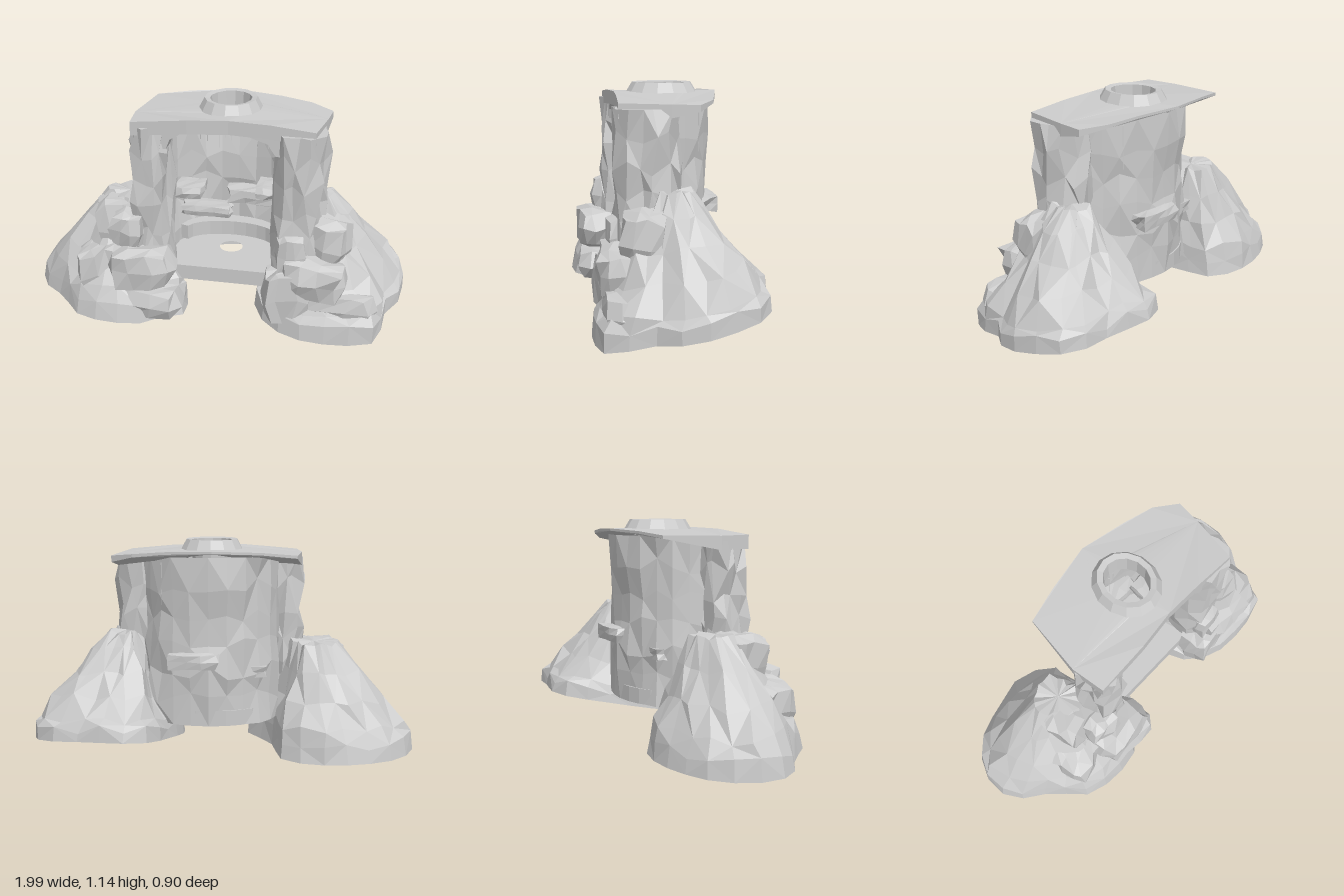
import * as THREE from 'three';

const rock = new THREE.MeshStandardMaterial({ color: 0xcccccc, flatShading: true });
const thin = new THREE.MeshStandardMaterial({ color: 0xcccccc, flatShading: true, side: THREE.DoubleSide });

// Repeatable noise in -1..1 taken from a position, so shared corners stay together
function noise(x, y, z, k) {
  const s = Math.sin(x * 127.1 + y * 311.7 + z * 74.7 + k * 53.3) * 43758.5453;
  return 2 * (s - Math.floor(s)) - 1;
}

function add(group, name, geometry, material = rock) {
  const mesh = new THREE.Mesh(geometry, material);
  mesh.name = name;
  group.add(mesh);
  return mesh;
}

// Joins rings of points (ordered from +x towards +z, bottom to top) into a surface
function loft(rings, { closed = true, caps = true } = {}) {
  const n = rings[0].length, pos = rings.flat().flatMap(p => [p.x, p.y, p.z]), idx = [];
  for (let j = 0; j < rings.length - 1; j++) {
    for (let i = 0; i < (closed ? n : n - 1); i++) {
      const a = j * n + i, b = j * n + (i + 1) % n, c = a + n, d = b + n;
      if ((i + j) % 2) idx.push(a, c, b, b, c, d);
      else idx.push(a, c, d, a, d, b);
    }
  }
  if (caps) {
    for (const j of [0, rings.length - 1]) {
      const mid = new THREE.Vector3();
      rings[j].forEach(p => mid.addScaledVector(p, 1 / n));
      const m = pos.length / 3;
      pos.push(mid.x, mid.y, mid.z);
      for (let i = 0; i < n; i++) {
        const a = j * n + i, b = j * n + (i + 1) % n;
        idx.push(m, ...(j ? [b, a] : [a, b]));
      }
    }
  }
  const g = new THREE.BufferGeometry();
  g.setAttribute('position', new THREE.Float32BufferAttribute(pos, 3));
  g.setIndex(idx);
  g.computeVertexNormals();
  return g;
}

// Evenly spaced points on a closed outline of [x, z] pairs
function outline(pairs, n) {
  const pts = pairs.map(([x, z]) => new THREE.Vector3(x, 0, z));
  return new THREE.CatmullRomCurve3(pts, true, 'centripetal').getSpacedPoints(n).slice(0, n);
}

// Hill of rock: base outline shrinking towards a crown, fuller on its +x side by bulge
function mound(base, centre, peak, k, tilt, y0, bulge, levels) {
  const ring = outline(base, 22);
  return loft(levels.map(([h, s], j) => ring.map(p => {
    const dx = p.x - centre[0], dz = p.z - centre[1];
    const t = s ** (1 + bulge * Math.max(0, dx / Math.hypot(dx, dz)));
    const r = j === 0 ? 0 : 0.03 * (1 - 0.5 * h), side = r * Math.min(1, s * 6);
    return new THREE.Vector3(
      THREE.MathUtils.lerp(p.x, peak[0] + dx * k, t) + side * noise(p.x, h, p.z, 1),
      THREE.MathUtils.lerp(y0 + tilt * p.z, peak[1], h) + r * noise(p.x, h, p.z, 2),
      THREE.MathUtils.lerp(p.z, peak[2] + dz * k, t) + side * noise(p.x, h, p.z, 3));
  })));
}

// Chunky boulder: a subdivided box, partly rounded, roughened and turned
function boulder([x, y, z], [w, h, d], round = 0.55, rough = 0.07, turn = 0) {
  const g = new THREE.BoxGeometry(1, 1, 1, 3, 2, 3), p = g.attributes.position, v = new THREE.Vector3();
  for (let i = 0; i < p.count; i++) {
    v.fromBufferAttribute(p, i);
    const key = v.toArray().map(a => Math.round(a * 100) / 100 + x);
    v.lerp(v.clone().setLength(0.56), round);
    v.x += rough * noise(...key, 1);
    v.y += rough * noise(...key, 2);
    v.z += rough * noise(...key, 3);
    p.setXYZ(i, v.x * w, v.y * h, v.z * d);
  }
  g.rotateZ(turn * 0.5).rotateY(turn).translate(x, y, z);
  g.computeVertexNormals();
  return g;
}

// Flat plate from [x, z] pairs with an optional round hole
function plate(pairs, y, h, hole) {
  const s = new THREE.Shape(pairs.map(([x, z]) => new THREE.Vector2(x, -z)));
  if (hole) s.holes.push(new THREE.Path().absarc(hole[0], -hole[1], hole[2], 0, Math.PI * 2, true));
  return new THREE.ExtrudeGeometry(s, { depth: h, bevelEnabled: false, curveSegments: 10 })
    .rotateX(-Math.PI / 2).translate(0, y, 0);
}

export function createModel() {
  const model = new THREE.Group();
  model.name = 'rockShelter';

  // Side mounds, the left one standing on a tilted base
  add(model, 'rightMound', mound(
    [[-0.25, 0], [-0.1, 0.28], [-0.27, 0.38], [-0.33, 0.44], [-0.65, 0.42], [-0.8, 0.26],
      [-0.97, 0.12], [-1, 0], [-0.97, -0.12], [-0.85, -0.25], [-0.53, -0.33], [-0.3, -0.25]],
    [-0.55, 0.05], [-0.47, 0.6, 0.02], 0.28, 0, 0.035, 0,
    [[0, 0], [0.16, 0.05], [0.29, 0.15], [0.5, 0.42], [0.75, 0.72], [1, 1]]));
  add(model, 'leftMound', mound(
    [[1, -0.08], [0.97, 0.06], [0.9, 0.16], [0.88, 0.34], [0.62, 0.4], [0.4, 0.36], [0.25, 0.22],
      [0.23, 0.05], [0.29, -0.2], [0.36, -0.4], [0.47, -0.45], [0.7, -0.4], [0.9, -0.36]],
    [0.6, -0.03], [0.52, 0.66, 0.0], 0.2, -0.205, 0.087, 0.6,
    [[0, 0], [0.13, 0.03], [0.22, 0.16], [0.4, 0.42], [0.62, 0.66], [0.84, 0.85], [1, 1]]));

  // Boulders heaped at the front of the mounds
  [[[-0.34, 0.31, 0.31], [0.34, 0.21, 0.22], 0.08], [[-0.41, 0.49, 0.25], [0.18, 0.18, 0.16], -0.1],
    [[-0.3, 0.13, 0.29], [0.36, 0.16, 0.25], -0.12], [[-0.57, 0.24, 0.24], [0.24, 0.28, 0.24], 0.3],
    [[-0.5, 0.45, 0.12], [0.24, 0.3, 0.24], 0.2], [[0.54, 0.31, 0.27], [0.32, 0.2, 0.2], -0.12],
    [[0.41, 0.2, 0.28], [0.24, 0.28, 0.18], 0.15], [[0.58, 0.45, 0.14], [0.24, 0.28, 0.22], -0.25],
    [[0.42, 0.43, 0.24], [0.15, 0.2, 0.16], 0.1], [[0.66, 0.16, 0.24], [0.4, 0.18, 0.22], -0.08]
  ].forEach(([c, s, turn], i) => add(model, `boulder${i + 1}`, boulder(c, s, 0.55, 0.07, turn)));

  // Columns either side of the opening, as stacks of rough rings
  const column = (name, x0, x1, back, out) => {
    const shape = outline([[x1, back + 0.05], [x1 - 0.01, 0.2], [x1 - 0.03, 0.26], [x0 + 0.03, 0.26],
      [x0, 0.18], [x0, back + 0.05], [x0 + 0.06, back], [x1 - 0.06, back]], 14);
    const mid = (x0 + x1) / 2;
    add(model, name, loft([0.2, 0.36, 0.5, 0.63, 0.77, 0.91, 1.04].map((y, j) => shape.map(p => {
      const outer = (p.x - mid) * out > 0 ? 1 : 0.5;
      return new THREE.Vector3(
        p.x + 0.028 * outer * noise(p.x, j, p.z, 1),
        y + (j < 6 ? 0.04 * noise(p.x, j, p.z, 2) : 0),
        p.z + 0.02 * noise(p.x, j, p.z, 3));
    }))));
  };
  column('rightColumn', -0.4, -0.2, 0.07, -1);
  column('leftColumn', 0.32, 0.56, -0.02, 1);

  // Curved back wall
  const wall = [];
  for (let j = 0; j <= 6; j++) {
    const row = [];
    for (let i = 0; i <= 12; i++) {
      const a = Math.PI * (1 + i / 12), r = 1 + 0.06 * noise(i, j, 3, 1);
      row.push(new THREE.Vector3(0.08 + 0.36 * r * Math.cos(a),
        0.2 + 0.86 * j / 6 + (j % 6 ? 0.045 * noise(i, j, 5, 2) : 0),
        0.1 - 0.32 * r * Math.abs(Math.sin(a)) ** 0.85));
    }
    wall.push(row);
  }
  add(model, 'backWall', loft(wall, { closed: false, caps: false }), thin);

  // Roof: thick over the front and sides, thinning to an overhang at the back
  const roof = plate([[-0.36, -0.2], [-0.18, -0.24], [0.06, -0.28], [0.3, -0.23], [0.46, -0.19],
    [0.575, -0.11], [0.56, 0.02], [0.52, 0.26], [0.3, 0.25], [0.1, 0.245], [-0.1, 0.265],
    [-0.38, 0.27], [-0.4, 0.1]], 0, 1, [0.07, 0, 0.13]);
  const rp = roof.attributes.position;
  for (let i = 0; i < rp.count; i++) {
    const x = rp.getX(i), z = rp.getZ(i), top = 1.095 - 0.03 * ((x - 0.07) / 0.47) ** 2;
    const depth = THREE.MathUtils.lerp(0.012, 0.07, THREE.MathUtils.smoothstep(z, -0.25, 0.1));
    rp.setY(i, rp.getY(i) > 0.5 ? top : top - depth);
  }
  roof.computeVertexNormals();
  add(model, 'roof', roof);

  // Arched lintel over the opening
  const arch = new THREE.Shape([[-0.36, 1.05], [-0.34, 0.93], [-0.21, 0.93], [-0.19, 0.98], [-0.14, 1.01],
    [0, 1.03], [0.2, 1.02], [0.29, 0.99], [0.33, 0.93], [0.5, 0.93], [0.52, 1.05]]
    .map(([x, y]) => new THREE.Vector2(x, y)));
  add(model, 'lintel', new THREE.ExtrudeGeometry(arch, { depth: 0.09, bevelEnabled: false }))
    .position.z = 0.155;

  // Oval collar around the roof hole
  const collar = [[0.115, 1.03], [0.12, 1.135], [0.15, 1.14], [0.19, 1.075]]
    .map(([r, y]) => new THREE.Vector2(r, y));
  add(model, 'collar', new THREE.LatheGeometry(collar, 14).scale(0.88, 1, 1), thin).position.x = 0.07;

  // Floor with a drain hole, and a raised step along the back
  const arc = (rx, rz, a0, a1, n) => Array.from({ length: n + 1 }, (_, i) => {
    const a = Math.PI * (a0 + (a1 - a0) * i / n);
    return [0.07 + rx * Math.cos(a), rz * Math.sin(a)];
  });
  add(model, 'floor', plate([...arc(0.3, 0.22, 1, 2, 12), [0.34, 0.22], [-0.2, 0.22]], 0.2, 0.08,
    [0.07, -0.035, 0.062]));
  add(model, 'backStep', plate([...arc(0.28, 0.2, 1.05, 1.95, 10), ...arc(0.24, 0.12, 1.95, 1.05, 10)],
    0.31, 0.08));

  // Ledges inside the alcove
  [[[0.155, 0.54, -0.19], [0.25, 0.08, 0.15]], [[-0.08, 0.47, -0.1], [0.27, 0.06, 0.12]],
    [[-0.14, 0.635, 0.02], [0.15, 0.06, 0.16]], [[0.27, 0.65, -0.02], [0.13, 0.06, 0.18]]
  ].forEach(([c, s], i) => add(model, `ledge${i + 1}`, boulder(c, s, 0.25, 0.06)));

  // Fine hanging strands below the roof
  const strands = new THREE.Group();
  strands.name = 'strands';
  model.add(strands);
  for (let i = 0; i < 16; i++) {
    const x = -0.18 + 0.5 * i / 15, len = 0.16 + 0.06 * noise(i, 1, 2, 1);
    const strand = add(strands, 'strand', new THREE.CylinderGeometry(0.003, 0.001, len, 4));
    strand.position.set(x, 1.03 - len / 2, -0.11 + 0.04 * noise(i, 4, 2, 2));
  }
  return model;
}
